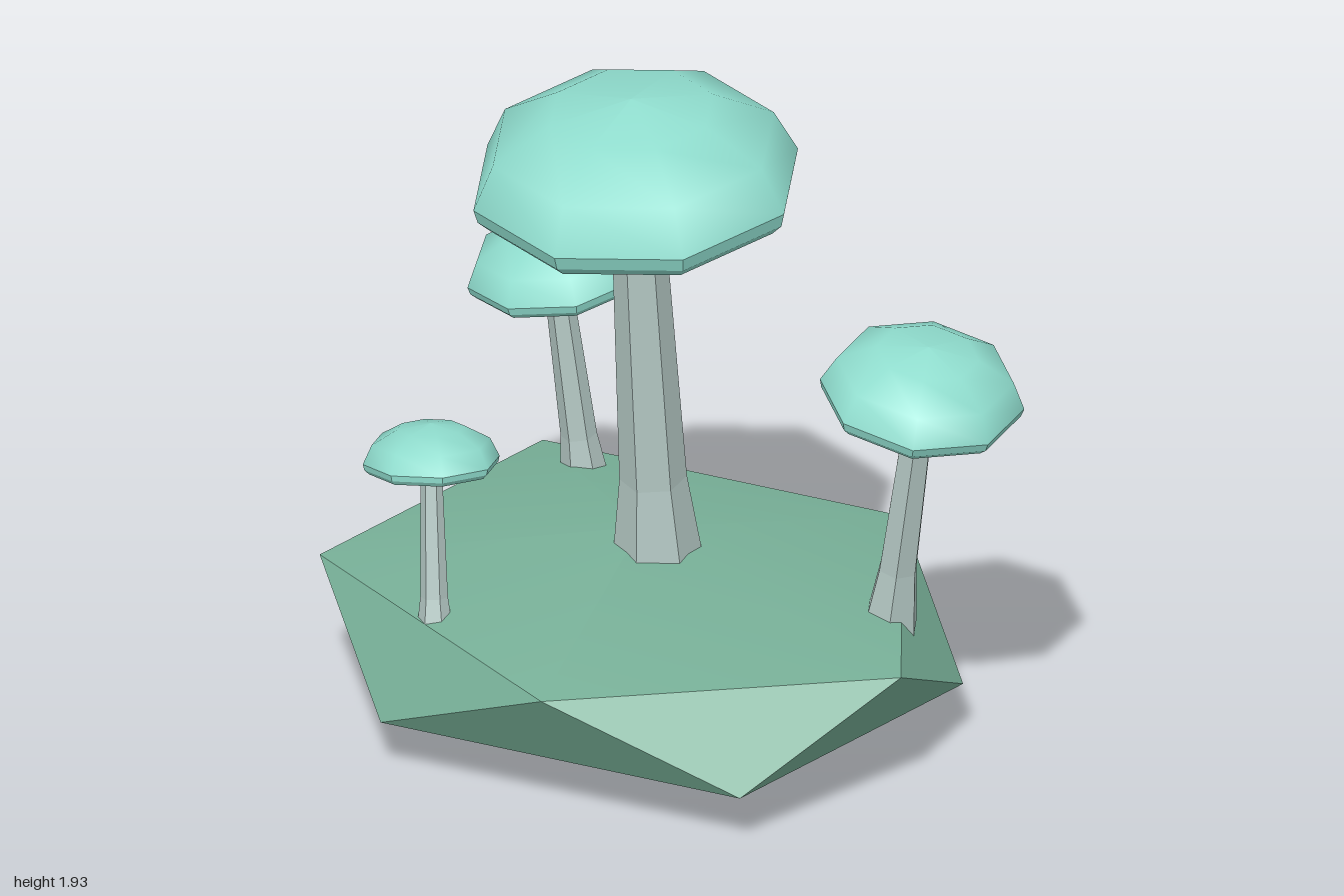
import * as THREE from 'three';
import { toCreasedNormals } from 'three/addons/utils/BufferGeometryUtils.js';

const STEM_LENGTH = 1.18;
const CAP_RADIUS = 0.46;

const material = (name, color) => {
  const m = new THREE.MeshStandardMaterial({ color });
  m.name = name;
  return m;
};

// Turned shape from [radius, height] pairs, listed from the underside up
function turned(points, sides, phase, faceted) {
  const profile = points.map(([r, y]) => new THREE.Vector2(r, y));
  const geometry = new THREE.LatheGeometry(profile, sides, phase);
  if (!faceted) return geometry;
  const flat = geometry.toNonIndexed();
  flat.computeVertexNormals();
  return flat;
}

function part(parent, name, geometry, mat) {
  const mesh = new THREE.Mesh(geometry, mat);
  mesh.name = name;
  parent.add(mesh);
  return mesh;
}

// One mushroom, with its origin where the stem meets the cap
function mushroom(name, phase, stemMat, capMat) {
  const group = new THREE.Group();
  group.name = name;

  // Six-sided stem with a flared foot
  const stem = [[0, 0], [0.13, 0], [0.092, 0.31], [0.07, STEM_LENGTH + 0.04]];
  part(group, 'stem', turned(stem, 6, phase, true), stemMat).position.y = -STEM_LENGTH;

  // Cap: shallow underside, faceted rim and smooth dome
  part(group, 'capUnderside', turned([[0, 0.025], [0.22, 0.018], [0.42, 0]], 8, phase, false), capMat);
  part(group, 'capRim', turned([[0.42, 0], [0.45, 0.03], [CAP_RADIUS, 0.07]], 8, phase, true), capMat);
  const dome = [90, 60, 30, 0].map((deg) => {
    const a = THREE.MathUtils.degToRad(deg);
    return [deg ? CAP_RADIUS * Math.sin(a) : 0, 0.07 + 0.255 * Math.cos(a)];
  });
  part(group, 'capDome', turned(dome, 8, phase, false), capMat);
  return group;
}

export function createModel() {
  const model = new THREE.Group();
  model.name = 'mushroomIsland';
  const ground = material('mossGreen', 0x78b098);
  const stemMat = material('paleGrey', 0xb5c9c5);
  const capMat = material('mint', 0x8fdccd);

  // Squashed icosahedron rock, standing on one vertex
  const rock = new THREE.IcosahedronGeometry(1);
  rock.rotateZ(-Math.atan(2 / (1 + Math.sqrt(5))));
  rock.scale(1.043, 0.28, 0.882);
  rock.translate(-0.063, 0.285, 0);
  part(model, 'rockBase', toCreasedNormals(rock, 0.45), ground);

  // Mushrooms: position of the cap, scale, tilt about x and z, turn (degrees)
  const mushrooms = [
    ['tallMushroom', [0.012, 1.615, 0.105], 1, 5, -0.5, 12],
    ['leftMushroom', [0.71, 1.08, -0.265], 0.61, 1.5, -10, 36],
    ['rightMushroom', [-0.645, 1.0, -0.325], 0.54, 5, 5, 9],
    ['smallMushroom', [-0.385, 0.82, 0.5], 0.41, -7.5, 8, 5],
  ];
  const rad = THREE.MathUtils.degToRad;
  for (const [name, position, scale, tiltX, tiltZ, turn] of mushrooms) {
    const m = mushroom(name, rad(turn), stemMat, capMat);
    m.position.set(...position);
    m.rotation.set(rad(tiltX), 0, rad(tiltZ));
    m.scale.setScalar(scale);
    model.add(m);
  }
  return model;
}
